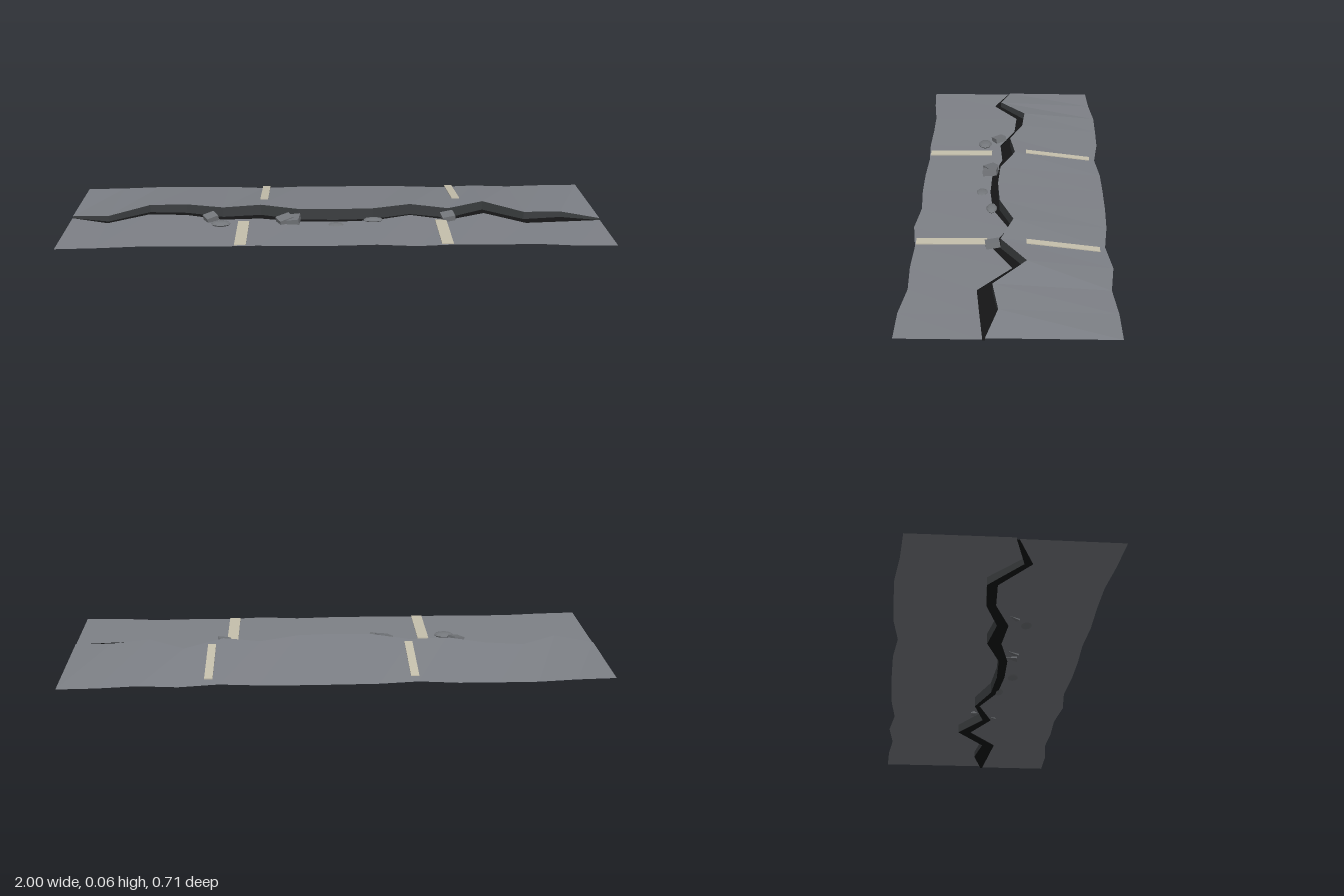
import * as THREE from 'three';

// Cross-section stations along x: outer edges and both lips of the crack (z values)
const backEdge = [-.335, -.342, -.357, -.357, -.355, -.337, -.352, -.354, -.354, -.35, -.336, -.355, -.34, -.354, -.357];
const backLip = [.01, .05, -.055, -.045, .005, -.016, .04, .047, .038, -.014, .03, -.062, .052, .03, .068];
const frontLip = [.018, .077, -.02, -.012, .045, .035, .072, .076, .064, .004, .062, -.012, .103, .09, .076];
const frontEdge = [.352, .345, .332, .332, .336, .33, .336, .336, .328, .345, .33, .335, .33, .35, .352];
const N = backEdge.length;
const lift = i => .018 + .035 * Math.pow(Math.max(0, Math.sin(Math.PI * i / (N - 1))), .6);

// Strip of quads between two edges, each edge a function of station -> [y, z]
function strip(a, b) {
  const pos = [], idx = [];
  for (let i = 0; i < N; i++) {
    const x = -1 + 2 * i / (N - 1);
    pos.push(x, ...a(i), x, ...b(i));
    if (i < N - 1) {
      const k = i * 2;
      idx.push(k, k + 1, k + 2, k + 1, k + 3, k + 2);
    }
  }
  const g = new THREE.BufferGeometry();
  g.setAttribute('position', new THREE.Float32BufferAttribute(pos, 3));
  g.setIndex(idx);
  const flat = g.toNonIndexed();
  flat.computeVertexNormals();
  return flat;
}

function material(name, color, extra = {}) {
  const m = new THREE.MeshStandardMaterial({ color, ...extra });
  m.name = name;
  return m;
}

export function createModel() {
  const group = new THREE.Group();
  const double = { side: THREE.DoubleSide };
  const asphalt = material('asphalt', 0x7e8187, double);
  const wall = material('brokenEdge', 0x3c3f41, double);
  const dark = material('crackDark', 0x151617, double);
  const paint = material('lanePaint', 0xc6c0ad);
  const rubble = material('rubble', 0x74777b, { flatShading: true });

  const add = (name, geometry, mat, x = 0, y = 0, z = 0) => {
    const m = new THREE.Mesh(geometry, mat);
    m.name = name;
    m.position.set(x, y, z);
    group.add(m);
    return m;
  };

  // Raised rear slab, level front slab, and the scarp and floor between them
  const upper = i => [lift(i), backLip[i]];
  const foot = i => [.01, backLip[i]];
  const lower = i => [.013, frontLip[i]];
  add('rearSlab', strip(i => [.014, backEdge[i]], upper), asphalt);
  add('frontSlab', strip(lower, i => [.015, frontEdge[i]]), asphalt);
  add('scarpWall', strip(upper, foot), wall);
  add('crackFloor', strip(foot, i => [.01, frontLip[i]]), dark);
  add('frontLip', strip(i => [.01, frontLip[i]], lower), dark);

  // Painted lane dashes: rear pair follow the slope, front pair lie flat
  for (const x of [-.274, .466]) {
    add('rearDash', new THREE.BoxGeometry(.03, .003, .257), paint, x, .043, -.188).rotation.x = -.124;
  }
  for (const x of [-.346, .396]) {
    add('frontDash', new THREE.BoxGeometry(.042, .003, .25), paint, x, .018, .203);
  }

  // Broken chunks: x, y, z, width, height, depth, yaw
  const chunks = [
    [-.472, .025, .052, .045, .02, .045, .5],
    [-.192, .025, .078, .055, .02, .045, .45],
    [-.158, .024, .08, .045, .022, .055, -.12],
    [.425, .026, .058, .048, .02, .05, .12],
  ];
  for (const [x, y, z, w, h, d, yaw] of chunks) {
    const m = add('chunk', new THREE.BoxGeometry(w, h, d), rubble, x, y, z);
    m.rotation.set(.12, yaw, .15);
  }

  // Flattened pebbles: x, y, z and radii
  const pebbles = [
    [-.43, .02, .108, .038, .01, .027],
    [0, .013, .108, .03, .006, .022],
    [.142, .017, .068, .038, .009, .02],
    [.36, .008, -.012, .018, .008, .014],
  ];
  for (const [x, y, z, rx, ry, rz] of pebbles) {
    add('pebble', new THREE.SphereGeometry(1, 10, 6), rubble, x, y, z).scale.set(rx, ry, rz);
  }
  return group;
}
